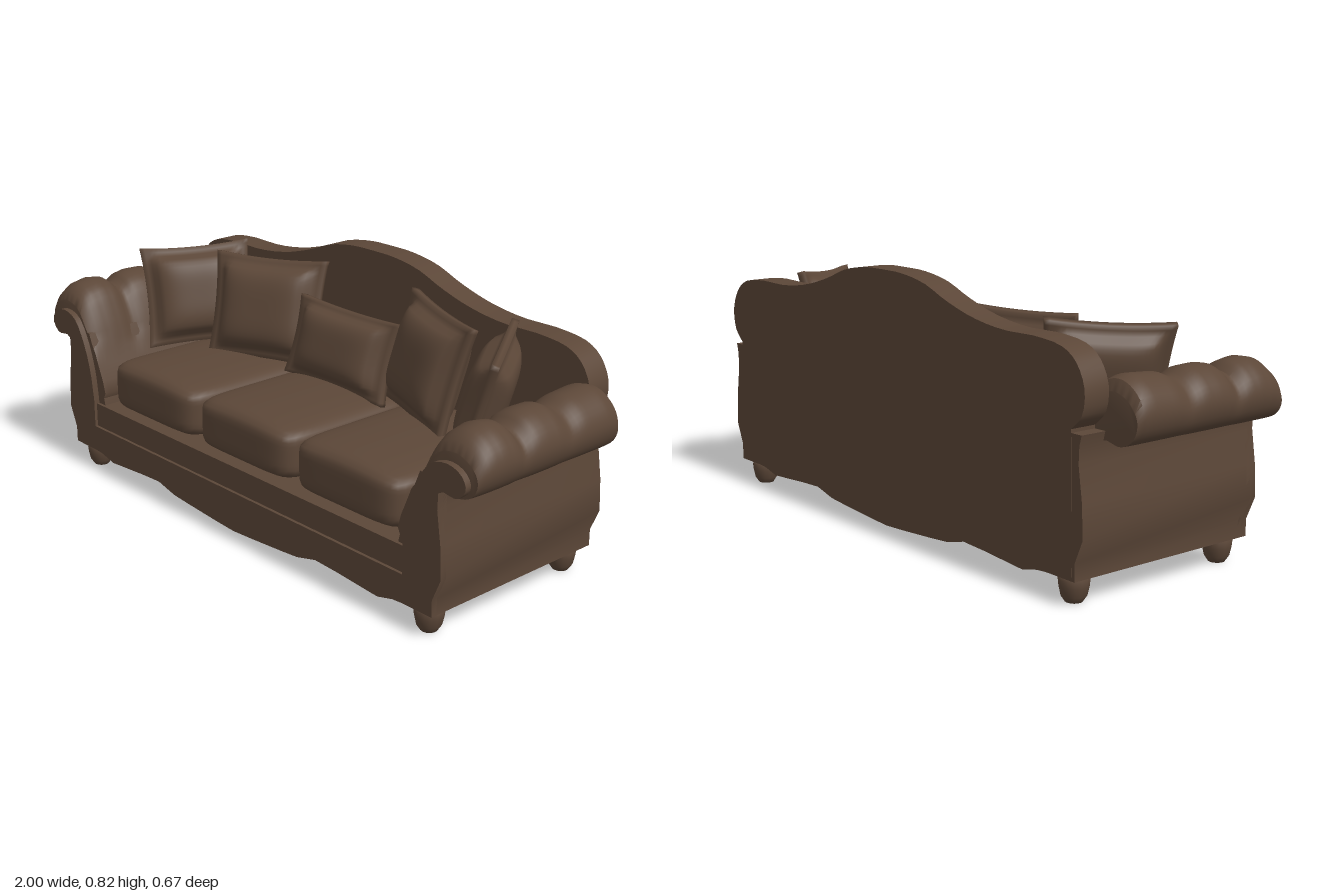
import * as THREE from 'three';
import { mergeVertices, toCreasedNormals } from 'three/addons/utils/BufferGeometryUtils.js';

const brown = new THREE.MeshStandardMaterial({ color: 0x5c4738 });
brown.name = 'brown upholstery';

// Closed outline extruded from z0 to z1; side = -1 mirrors it in x
function extrude(points, z0, z1, { side = 1, steps = 1, rule = null } = {}) {
  const shape = new THREE.Shape(points.map(([x, y]) => new THREE.Vector2(x * side, y)));
  const geo = new THREE.ExtrudeGeometry(shape, { depth: z1 - z0, steps, bevelEnabled: false });
  geo.translate(0, 0, z0);
  if (rule) reshape(geo, rule);
  return toCreasedNormals(geo, 0.7);
}

// Move every vertex by a rule
function reshape(geo, rule) {
  const pos = geo.attributes.position, v = new THREE.Vector3();
  for (let i = 0; i < pos.count; i++) {
    rule(v.fromBufferAttribute(pos, i));
    pos.setXYZ(i, v.x, v.y, v.z);
  }
}

function softBox(nx, ny, nz, rule) {
  let geo = new THREE.BoxGeometry(2, 2, 2, nx, ny, nz);
  geo.deleteAttribute('uv');
  geo.deleteAttribute('normal');
  geo = mergeVertices(geo);
  reshape(geo, rule);
  geo.computeVertexNormals();
  return geo;
}

// Smooth a list of points with a spline
const smooth = (pts, n, closed = false) => new THREE.CatmullRomCurve3(
  pts.map(([x, y]) => new THREE.Vector3(x, y, 0)), closed, 'centripetal',
).getPoints(n).slice(0, closed ? n : n + 1).map((p) => [p.x, p.y]);

const mirrored = (half) => [...half, ...half.filter((p) => p[0] !== 0).reverse().map(([x, y]) => [-x, y])];

// Plump seat cushion with rounded edges
function seatCushion(w, h, d) {
  return softBox(16, 10, 16, (p) => {
    const m = Math.max(Math.abs(p.x), Math.abs(p.y), Math.abs(p.z));
    const n = 7;
    const len = (Math.abs(p.x) ** n + Math.abs(p.y) ** n + Math.abs(p.z) ** n) ** (1 / n);
    p.multiplyScalar(m / len);
    const puff = p.y > 0 ? 0.82 + 0.18 * (1 - p.x * p.x) : 1;
    p.set(p.x * w / 2, p.y * puff * h / 2, p.z * d / 2);
  });
}

// Throw pillow with a puffed core, a thin flange and drawn-in edges
function throwPillow(w, h, thick) {
  const core = (t) => Math.max(0, 1 - Math.abs(t / 0.84) ** 4);
  return softBox(24, 24, 2, (p) => {
    const { x: u, y: v } = p;
    const t = 0.012 + thick * Math.sqrt(core(u) * core(v));
    p.set(u * w / 2 * (1 - 0.06 * (1 - v * v)), v * h / 2 * (1 - 0.06 * (1 - u * u)), p.z * t);
  });
}

// Height of the arm roll along its depth, with three bulges
const rollHeights = [
  [-0.25, 0.59], [-0.24, 0.62], [-0.2, 0.632], [-0.1, 0.625], [-0.05, 0.604], [0, 0.628], [0.06, 0.63],
  [0.1, 0.622], [0.135, 0.592], [0.17, 0.622], [0.22, 0.63], [0.27, 0.62], [0.3, 0.597], [0.315, 0.57],
];
function rollScale(z) {
  let i = 1;
  while (i < rollHeights.length - 1 && rollHeights[i][0] < z) i++;
  const [a, b] = [rollHeights[i - 1], rollHeights[i]];
  const t = THREE.MathUtils.clamp((z - a[0]) / (b[0] - a[0]), 0, 1);
  return (THREE.MathUtils.lerp(a[1], b[1], t) - 0.445) / 0.185;
}

export function createModel() {
  const group = new THREE.Group();
  const add = (name, geo, x = 0, y = 0, z = 0) => {
    const mesh = new THREE.Mesh(geo, brown);
    mesh.name = name;
    mesh.position.set(x, y, z);
    group.add(mesh);
    return mesh;
  };

  // Base with a scalloped lower edge
  const scallop = mirrored([
    [0.74, 0.078], [0.7, 0.075], [0.64, 0.06], [0.47, 0.072], [0.38, 0.076], [0.3, 0.056], [0.23, 0.05], [0.09, 0.04], [0, 0.035],
  ]);
  add('base', extrude([...scallop, [-0.74, 0.245], [0.74, 0.245]], -0.334, 0.325));
  add('apron', extrude([...scallop, [-0.74, 0.165], [0.74, 0.165]], 0.32, 0.335));

  // Camelback with rounded ears
  const backHalf = smooth([
    [0.83, 0.49], [0.87, 0.53], [0.88, 0.6], [0.85, 0.665], [0.8, 0.7], [0.7, 0.715], [0.55, 0.715],
    [0.42, 0.732], [0.3, 0.765], [0.2, 0.802], [0.09, 0.82], [0, 0.822],
  ], 32);
  backHalf[backHalf.length - 1][0] = 0;
  add('backrest', extrude([[0.84, 0.09], ...mirrored(backHalf), [-0.84, 0.09]], -0.335, -0.25));

  // Arms: side body, bulging roll and scrolled front facing
  const armOuter = [[0.85, 0.078], [0.85, 0.13], [0.88, 0.2], [0.875, 0.3], [0.86, 0.4], [0.862, 0.45]];
  const armBody = [...armOuter, [0.87, 0.48], [0.775, 0.48], [0.73, 0.37], [0.7, 0.25], [0.7, 0.078]];
  const armRoll = smooth([
    [0.86, 0.455], [0.93, 0.447], [0.98, 0.475], [1, 0.53], [0.985, 0.58], [0.94, 0.62], [0.89, 0.63],
    [0.83, 0.605], [0.785, 0.53], [0.745, 0.42], [0.7, 0.27], [0.84, 0.28],
  ], 44, true);
  const facing = [...armOuter, ...smooth([
    [0.88, 0.458], [0.93, 0.455], [0.958, 0.49], [0.94, 0.525], [0.89, 0.542], [0.83, 0.525],
    [0.785, 0.46], [0.75, 0.36], [0.735, 0.26],
  ], 22), [0.735, 0.078]];
  for (const side of [1, -1]) {
    const label = side > 0 ? 'left' : 'right';
    add(label + 'ArmBody', extrude(armBody, -0.334, 0.315, { side }));
    add(label + 'ArmRoll', extrude(armRoll, -0.25, 0.315, {
      side,
      steps: 36,
      rule: (p) => {
        if (p.y < 0.445) return;
        const s = rollScale(p.z);
        p.y = 0.445 + (p.y - 0.445) * s;
        p.x = side * (0.88 + (Math.abs(p.x) - 0.88) * (0.5 + 0.5 * s));
      },
    }));
    add(label + 'ArmFacing', extrude(facing, 0.3, 0.335, { side }));
  }

  // Turned feet
  const foot = new THREE.LatheGeometry([
    [0, 0], [0.025, 0], [0.037, 0.018], [0.043, 0.045], [0.045, 0.065], [0.038, 0.08], [0, 0.08],
  ].map(([x, y]) => new THREE.Vector2(x, y)), 14);
  for (const x of [-0.79, 0.79]) for (const z of [-0.28, 0.28]) add('foot', foot, x, 0, z);

  // Three seat cushions
  const cushion = seatCushion(0.452, 0.175, 0.55);
  for (const x of [-0.458, 0, 0.458]) add('seatCushion', cushion, x, 0.333, 0.035);

  // Throw pillows, fanned around the seat and leaning back
  const place = (name, geo, pos, tilt, yaw, roll = 0) => {
    add(name, geo, ...pos).rotation.set(tilt, yaw, roll, 'YXZ');
  };
  place('centrePillow', throwPillow(0.45, 0.26, 0.055), [0, 0.525, -0.12], -0.3, 0);
  const large = throwPillow(0.41, 0.35, 0.06);
  const outer = throwPillow(0.37, 0.34, 0.055);
  for (const s of [1, -1]) {
    place('largePillow', large, [s * 0.37, 0.572, -0.125], -0.27, -s * 0.36, -s * 0.03);
    place('outerPillow', outer, [s * 0.665, 0.57, -0.065], -0.28, -s * 0.98, -s * 0.06);
  }
  return group;
}
